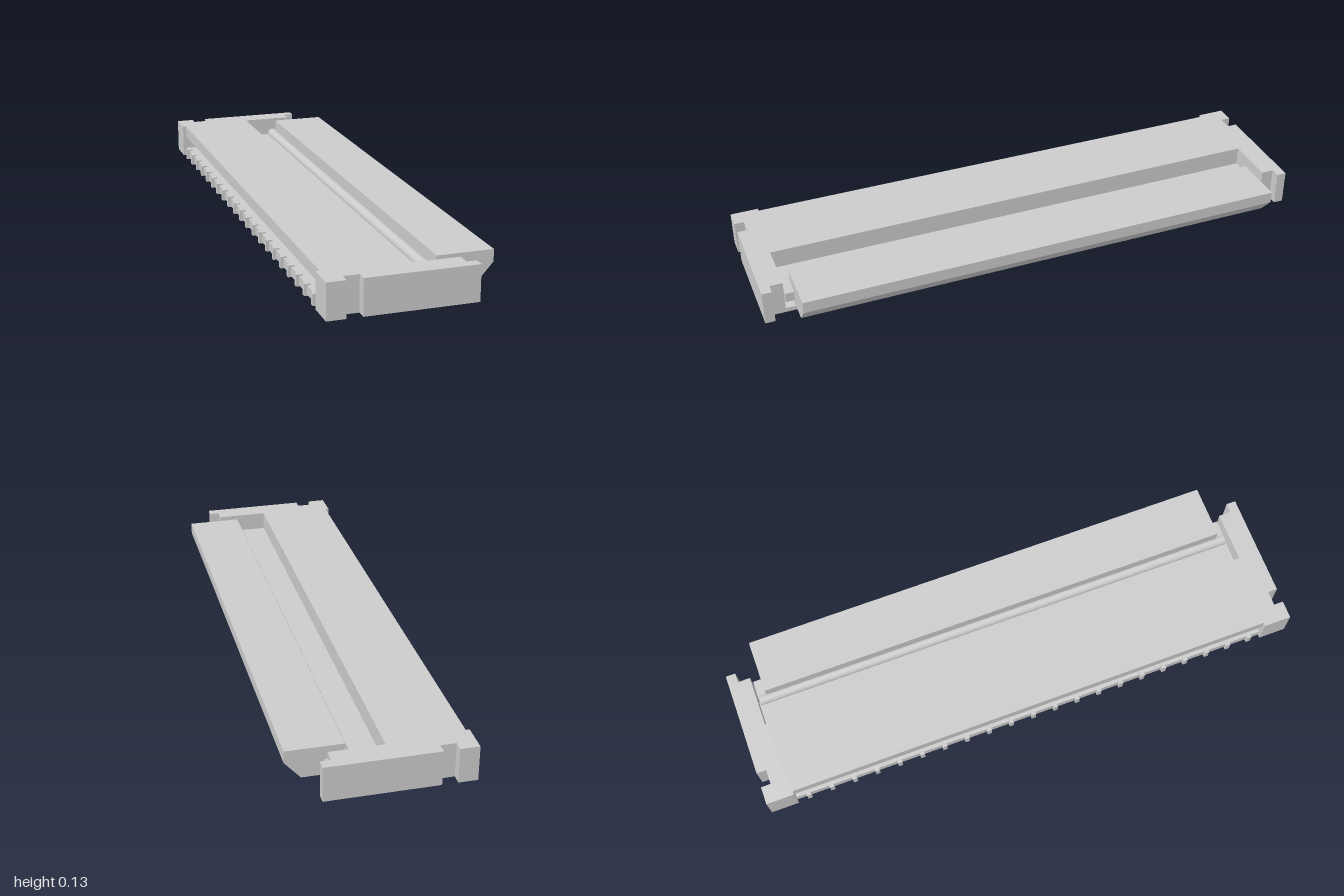
import * as THREE from 'three';

const material = new THREE.MeshStandardMaterial({ color: 0xcccccc, flatShading: true });
const smooth = new THREE.MeshStandardMaterial({ color: 0xcccccc });

export function createModel() {
  const root = new THREE.Group();
  root.name = 'cableConnector';

  const add = (parent, name, geometry, mat = material) => {
    const mesh = new THREE.Mesh(geometry, mat);
    mesh.name = name;
    parent.add(mesh);
    return mesh;
  };
  const box = (parent, name, x0, x1, y0, y1, z0, z1) =>
    add(parent, name, new THREE.BoxGeometry(x1 - x0, y1 - y0, z1 - z0))
      .position.set((x0 + x1) / 2, (y0 + y1) / 2, (z0 + z1) / 2);
  const shapeOf = (points) => new THREE.Shape(points.map(([x, y]) => new THREE.Vector2(x, y)));

  // Housing: stacked slabs sharing the end walls, with their own rear and front edges
  const housing = new THREE.Group();
  housing.name = 'housing';
  root.add(housing);
  const slab = (name, rearX, frontX, y0, y1) => {
    // Half outline from the rear middle to the front middle, then mirrored
    const half = [
      [rearX, 0.9], [-0.3, 0.9], [-0.3, 1], [-0.235, 1], [-0.235, 0.965], [-0.182, 0.965],
      [-0.182, 1], [0.2, 1], [0.2, 0.965], [0.165, 0.965], [0.165, 0.92],
    ];
    if (frontX < 0.165) half.push([frontX, 0.92]);
    const mirrored = half.map(([x, z]) => [x, -z]).reverse();
    const geometry = new THREE.ExtrudeGeometry(shapeOf([...half, ...mirrored]), {
      depth: y1 - y0, bevelEnabled: false,
    });
    geometry.rotateX(-Math.PI / 2).translate(0, y0, 0);
    add(housing, name, geometry);
  };
  slab('floor', -0.287, 0.165, 0.004, 0.02);
  slab('rearLedge', -0.287, 0.09, 0.02, 0.035);
  slab('wellFloor', -0.22, 0.09, 0.035, 0.06);
  slab('rearRecess', -0.22, -0.02, 0.06, 0.085);
  slab('cover', -0.287, -0.02, 0.085, 0.128);

  // Contacts: rear row, and a front row staggered by half a pitch
  const pitch = 0.0855, w = 0.008;
  const contacts = new THREE.Group();
  contacts.name = 'contacts';
  root.add(contacts);
  for (let i = -10; i <= 10; i++) {
    const z = i * pitch;
    box(contacts, 'rearContactTail', -0.297, -0.275, 0, 0.04, z - w, z + w);
    box(contacts, 'rearContactFoot', -0.28, -0.175, 0, 0.006, z - w, z + w);
    if (i < 10) {
      const zf = z + pitch / 2;
      box(contacts, 'frontContactFoot', 0.12, 0.178, 0, 0.022, zf - w, zf + w);
    }
  }

  // Flip latch with a sloped underside
  const latch = new THREE.Group();
  latch.name = 'latch';
  root.add(latch);
  const profile = shapeOf([[0.1, 0.023], [0.24, 0.023], [0.295, 0.085], [0.295, 0.127], [0.1, 0.127]]);
  const plate = new THREE.ExtrudeGeometry(profile, { depth: 1.77, bevelEnabled: false });
  add(latch, 'latchPlate', plate.translate(0, 0, -0.885));

  // Hinge rod and the end trunnions
  const rod = new THREE.CylinderGeometry(0.02, 0.02, 1.83, 24).rotateX(Math.PI / 2);
  add(latch, 'hingeRod', rod, smooth).position.set(0.095, 0.064, 0);
  for (const s of [-1, 1]) {
    const z = s * 0.9;
    box(latch, 'trunnion', 0.1, 0.165, 0.045, 0.08, z - 0.017, z + 0.017);
  }

  return root;
}
